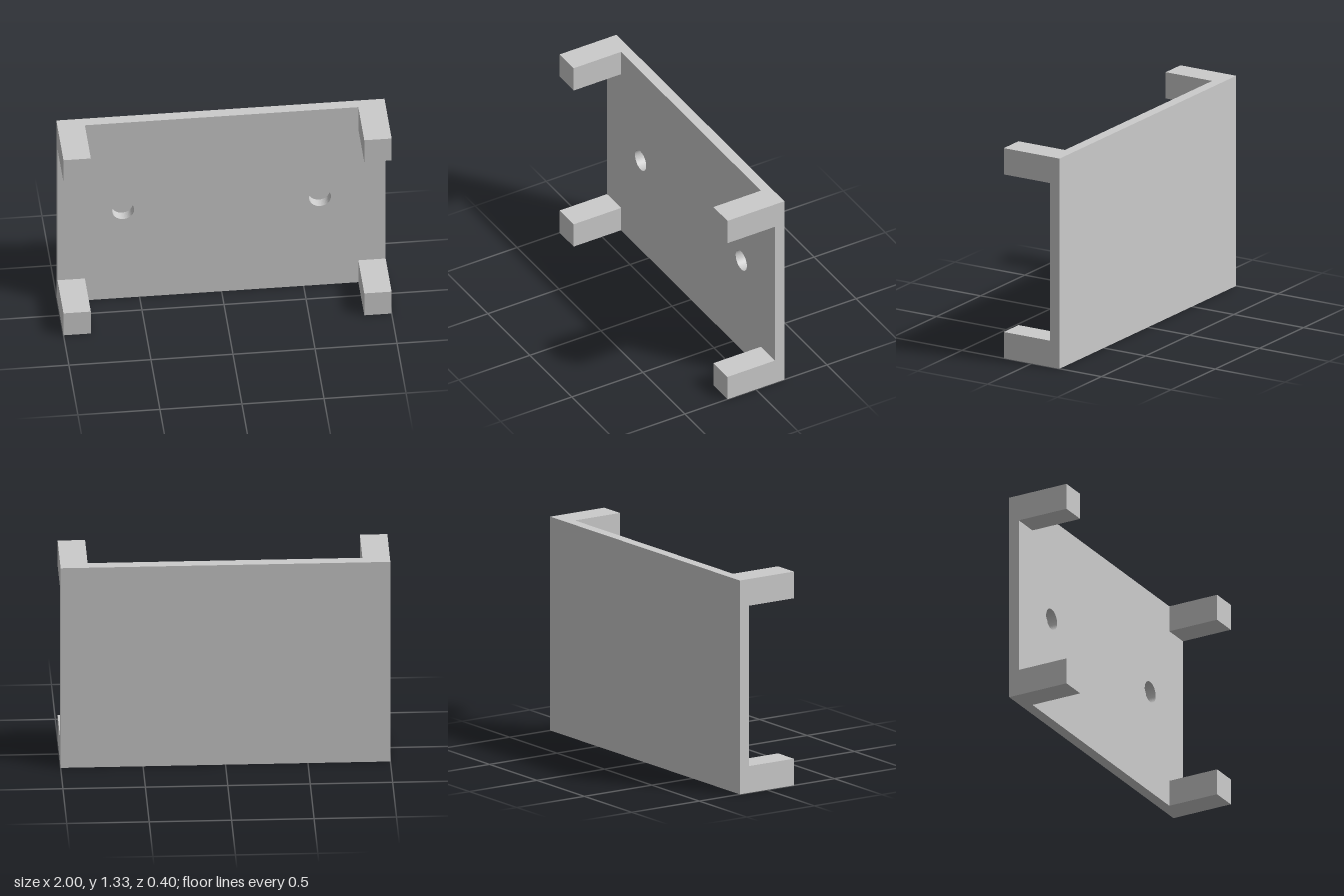
import * as THREE from 'three';

const W = 2, H = 4 / 3, D = 0.4;      // overall size
const PLATE = 0.0667, SKIN = 0.002;   // plate thickness, closed back of the holes
const LEG = 0.1667, HOLE_R = 0.0667, HOLE_X = 0.6;

export function createModel() {
  const group = new THREE.Group();
  const material = new THREE.MeshStandardMaterial({ color: 0xcccccc });
  const add = (name, geometry, x, y, z) => {
    const mesh = new THREE.Mesh(geometry, material);
    mesh.name = name;
    mesh.position.set(x, y, z);
    group.add(mesh);
  };

  // Plate with two round recesses
  const outline = new THREE.Shape([
    new THREE.Vector2(-W / 2, 0), new THREE.Vector2(W / 2, 0),
    new THREE.Vector2(W / 2, H), new THREE.Vector2(-W / 2, H),
  ]);
  for (const side of [-1, 1]) {
    outline.holes.push(new THREE.Path().absarc(side * HOLE_X, H / 2, HOLE_R, 0, Math.PI * 2, true));
  }
  const plate = new THREE.ExtrudeGeometry(outline, {
    depth: PLATE - SKIN, bevelEnabled: false, curveSegments: 24,
  });
  add('plate', plate, 0, 0, -D / 2 + SKIN);

  // Thin back that closes the recesses
  add('plateBack', new THREE.BoxGeometry(W, H, SKIN), 0, H / 2, -D / 2 + SKIN / 2);

  // Four square corner legs pointing forward
  const legLength = D - PLATE;
  const legGeometry = new THREE.BoxGeometry(LEG, LEG, legLength);
  for (const [sideName, side] of [['left', 1], ['right', -1]]) {
    for (const [levelName, y] of [['Lower', LEG / 2], ['Upper', H - LEG / 2]]) {
      add(`${sideName}${levelName}Leg`, legGeometry, side * (W - LEG) / 2, y, (D - legLength) / 2);
    }
  }
  return group;
}
